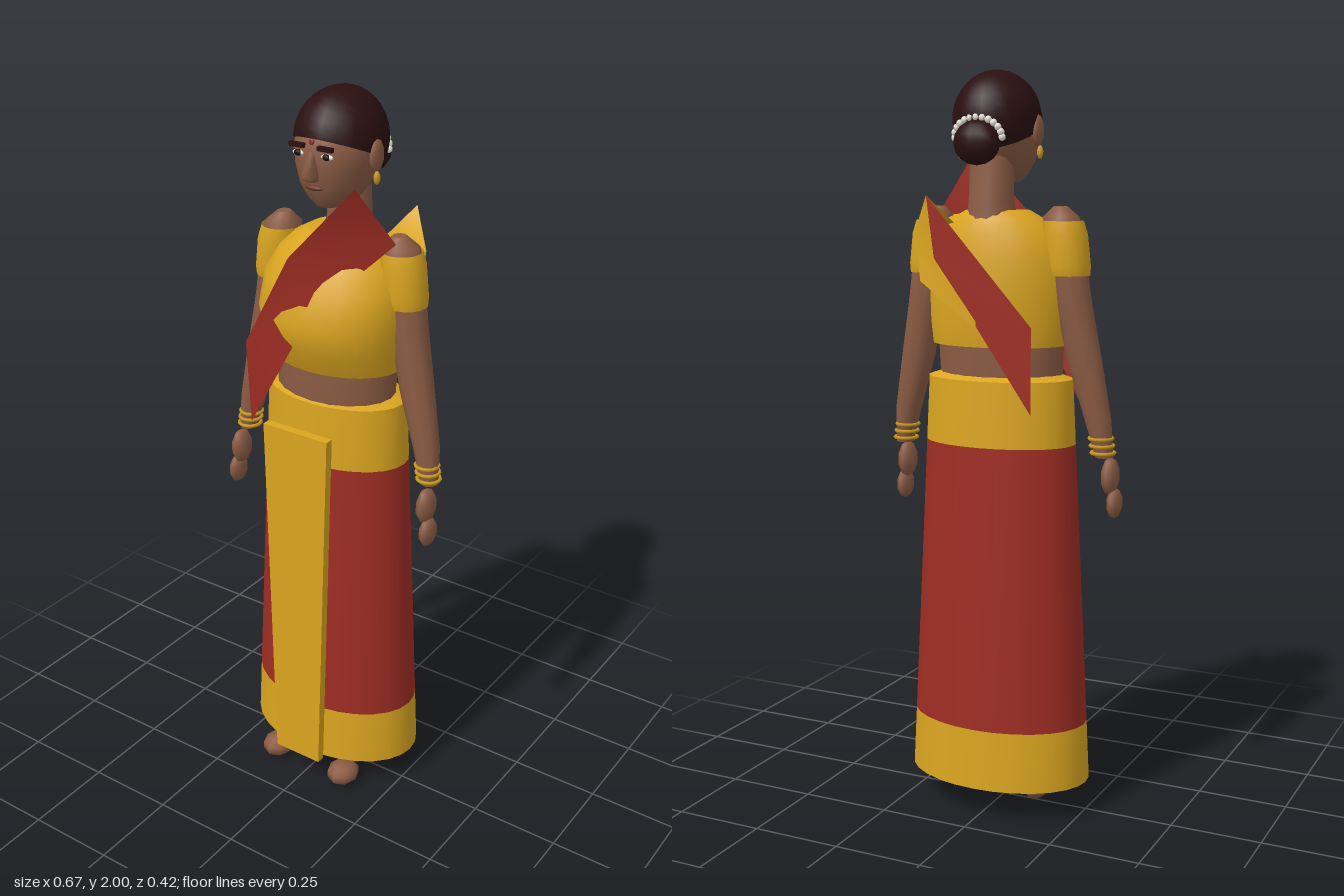
import * as THREE from 'three';

const mat = (name, color, side = THREE.FrontSide) =>
  Object.assign(new THREE.MeshStandardMaterial({ color, side }), { name });

// Surface through elliptical rings [y, halfWidth, frontZ, backZ, centreX], listed bottom to top
function loft(rings, n = 20, caps = true) {
  const pos = [], idx = [];
  const addRing = ([y, rx, f, b, cx = 0]) => {
    const start = pos.length / 3;
    for (let i = 0; i < n; i++) {
      const a = i / n * Math.PI * 2;
      pos.push(cx + Math.cos(a) * rx, y, (f + b) / 2 + Math.sin(a) * (f - b) / 2);
    }
    return start;
  };
  const starts = rings.map(addRing);
  for (let k = 0; k < rings.length - 1; k++) {
    for (let i = 0; i < n; i++) {
      const j = (i + 1) % n, p = starts[k], q = starts[k + 1];
      idx.push(p + i, q + i, p + j, p + j, q + i, q + j);
    }
  }
  if (caps) [rings[0], rings[rings.length - 1]].forEach((r, top) => {
    const s = addRing(r), c = pos.length / 3;
    pos.push(r[4] || 0, r[0], (r[2] + r[3]) / 2);
    for (let i = 0; i < n; i++) {
      const j = (i + 1) % n;
      idx.push(c, s + (top ? j : i), s + (top ? i : j));
    }
  });
  const g = new THREE.BufferGeometry();
  g.setAttribute('position', new THREE.Float32BufferAttribute(pos, 3));
  g.setIndex(idx);
  g.computeVertexNormals();
  return g;
}

// Cloth strip between two edges with the same number of points
function strip(edgeA, edgeB) {
  const g = new THREE.BufferGeometry(), n = edgeA.length, idx = [];
  g.setAttribute('position', new THREE.Float32BufferAttribute([...edgeA, ...edgeB].flat(), 3));
  for (let i = 0; i < n - 1; i++) idx.push(i, n + i, i + 1, i + 1, n + i, n + i + 1);
  g.setIndex(idx);
  g.computeVertexNormals();
  return g;
}

export function createModel() {
  const root = new THREE.Group();
  root.name = 'womanInDrapedDress';
  const skin = mat('skin', 0x8b5c44);
  const hair = mat('hair', 0x2a0f10);
  const gold = mat('goldCloth', 0xdaa520, THREE.DoubleSide);
  const red = mat('redCloth', 0x9e2d23, THREE.DoubleSide);
  const jewel = mat('goldJewellery', 0xc8961e);
  const pearl = mat('pearl', 0xeeeadf);
  const dark = mat('eyeDark', 0x160a0a);
  const lip = mat('lip', 0x6a382e);

  const add = (name, geo, material, p = [0, 0, 0], s = [1, 1, 1], parent = root) => {
    const m = new THREE.Mesh(geo, material);
    m.name = name;
    m.position.set(...p);
    m.scale.set(...s);
    parent.add(m);
    return m;
  };
  const ball = new THREE.SphereGeometry(1, 14, 10);
  const lowBall = new THREE.SphereGeometry(1, 8, 5);

  // Skirt in three bands on one straight taper
  const skirtRing = y => {
    const t = (y - 0.09) / 1.12;
    return [y, 0.26 - 0.055 * t, 0.15 - 0.042 * t, -0.2 + 0.045 * t];
  };
  const band = (name, y0, y1, m) => add(name, loft([skirtRing(y0), skirtRing(y1)], 28, false), m);
  band('skirtHem', 0.09, 0.255, gold);
  band('skirtBody', 0.255, 1.025, red);
  band('skirtWaistband', 1.025, 1.2, gold);
  add('skirtTop', loft([skirtRing(1.2), [1.212, 0.17, 0.08, -0.13]], 28, false), gold);

  // Hanging front panel, narrower at the foot
  const panel = new THREE.BoxGeometry(0.2, 1.04, 0.024);
  const pp = panel.attributes.position;
  for (let i = 0; i < pp.count; i++) {
    if (pp.getY(i) < 0) pp.setX(i, pp.getX(i) * 0.73 - 0.004);
  }
  panel.computeVertexNormals();
  add('frontPanel', panel, gold, [0.025, 0.64, 0.196]);

  // Waist, blouse and neck
  add('waist', loft([[1.1, 0.17, 0.09, -0.13], [1.2, 0.173, 0.1, -0.135], [1.32, 0.178, 0.1, -0.14]]), skin);
  add('blouse', loft([
    [1.29, 0.19, 0.11, -0.16], [1.35, 0.2, 0.14, -0.168], [1.43, 0.206, 0.166, -0.17],
    [1.52, 0.2, 0.132, -0.163], [1.58, 0.167, 0.098, -0.152], [1.62, 0.125, 0.068, -0.14],
    [1.642, 0.085, 0.045, -0.125]], 24), gold);
  add('neck', loft([[1.62, 0.068, -0.008, -0.14], [1.66, 0.06, -0.02, -0.135],
    [1.78, 0.058, -0.02, -0.125]], 14), skin);

  // Head with chin, and nose
  add('head', loft([
    [1.714, 0.04, 0.05, -0.06], [1.735, 0.066, 0.066, -0.085], [1.77, 0.088, 0.082, -0.115],
    [1.82, 0.103, 0.092, -0.145], [1.87, 0.108, 0.093, -0.155], [1.92, 0.095, 0.07, -0.145],
    [1.96, 0.06, 0.03, -0.11]], 16), skin);
  add('nose', loft([[1.79, 0.016, 0.105, 0.06], [1.805, 0.02, 0.125, 0.06], [1.865, 0.01, 0.103, 0.06]], 6), skin);
  add('mouth', ball, lip, [0, 1.772, 0.081], [0.026, 0.007, 0.008]);
  add('foreheadDot', ball, red, [0, 1.888, 0.089], [0.008, 0.008, 0.004]);

  // Hair cap tilted back, bun, and a half ring of pearls
  const hairGroup = new THREE.Group();
  hairGroup.name = 'hair';
  hairGroup.position.set(0, 1.87, -0.04);
  hairGroup.scale.set(0.115, 0.13, 0.132);
  root.add(hairGroup);
  const cap = add('hairCap', new THREE.SphereGeometry(1, 18, 10, 0, Math.PI * 2, 0, 1.78), hair,
    [0, 0, 0], [1, 1, 1], hairGroup);
  cap.rotation.x = -0.41;
  add('bun', new THREE.SphereGeometry(1, 12, 8), hair, [0, 1.812, -0.162], [0.064, 0.057, 0.046]);
  for (let i = 0; i < 13; i++) {
    const a = i / 12 * Math.PI;
    add('pearlBead', lowBall, pearl,
      [Math.cos(a) * 0.067, 1.825 + Math.sin(a) * 0.05, -0.153 - Math.sin(a) * 0.012], [0.01, 0.01, 0.01]);
  }

  const bangle = new THREE.TorusGeometry(0.031, 0.005, 6, 14).rotateX(Math.PI / 2);
  for (const s of [-1, 1]) {
    const side = s > 0 ? 'left' : 'right';

    // Face details, ears and earrings
    add(side + 'Eyebrow', new THREE.BoxGeometry(0.042, 0.011, 0.012), hair, [s * 0.042, 1.876, 0.091]);
    add(side + 'EyeWhite', ball, pearl, [s * 0.042, 1.855, 0.084], [0.018, 0.007, 0.007]);
    add(side + 'Eye', ball, dark, [s * 0.042, 1.855, 0.087], [0.011, 0.008, 0.007]);
    add(side + 'Ear', lowBall, skin, [s * 0.11, 1.845, -0.03], [0.014, 0.042, 0.028]);
    add(side + 'Earring', lowBall, jewel, [s * 0.115, 1.79, -0.025], [0.009, 0.018, 0.009]);

    // Arm with exposed shoulder, sleeve, bangles and hand
    add(side + 'Arm', loft([
      [1.0, 0.024, 0.01, -0.04, s * 0.3], [1.1, 0.037, 0.012, -0.055, s * 0.283],
      [1.25, 0.048, 0.014, -0.068, s * 0.247], [1.42, 0.05, 0.015, -0.083, s * 0.213],
      [1.58, 0.052, 0.015, -0.088, s * 0.19], [1.625, 0.049, 0.012, -0.085, s * 0.181],
      [1.652, 0.018, -0.015, -0.055, s * 0.178]], 10), skin);
    add(side + 'Sleeve', loft([
      [1.475, 0.054, 0.02, -0.09, s * 0.204], [1.5, 0.059, 0.026, -0.096, s * 0.2],
      [1.58, 0.058, 0.026, -0.096, s * 0.192], [1.615, 0.053, 0.02, -0.09, s * 0.186]], 16, false), gold);
    for (let i = 0; i < 3; i++) {
      add(side + 'Bangle', bangle, jewel, [s * (0.296 - i * 0.003), 1.012 + i * 0.019, -0.017]);
    }
    add(side + 'Palm', lowBall, skin, [s * 0.307, 0.945, 0.01], [0.024, 0.052, 0.038]);
    add(side + 'Fingers', lowBall, skin, [s * 0.318, 0.872, 0.015], [0.02, 0.042, 0.036]);

    // Leg inside the skirt and two-part foot
    add(side + 'Leg', loft([[0.13, 0.045, 0.03, -0.06, s * 0.1], [0.6, 0.07, 0.05, -0.09, s * 0.1],
      [1.1, 0.085, 0.06, -0.11, s * 0.09]], 10), skin);
    add(side + 'Heel', lowBall, skin, [s * 0.112, 0.052, 0], [0.036, 0.036, 0.085]);
    add(side + 'Toes', lowBall, skin, [s * 0.117, 0.034, 0.115], [0.046, 0.034, 0.052]);
  }

  // Sash across the chest, partly sunk into the blouse
  add('frontSash', strip(
    [[0.14, 1.8, 0.11], [-0.03, 1.605, 0.152], [-0.165, 1.35, 0.158]],
    [[0.19, 1.64, 0], [0.03, 1.465, 0.142], [-0.165, 1.115, 0.142]]), red);

  // Sash over the shoulder and down the back, with a gold border
  add('shoulderSash', strip(
    [[0.08, 1.635, -0.02], [0.08, 1.61, -0.135], [0.13, 1.68, -0.195]],
    [[0.19, 1.625, -0.02], [0.195, 1.585, -0.135], [0.13, 1.678, -0.195]]), gold);
  add('backSash', strip(
    [[0.13, 1.68, -0.195], [-0.165, 1.35, -0.19]],
    [[0.11, 1.52, -0.192], [-0.165, 1.125, -0.19]]), red);
  add('backSashBorder', strip(
    [[0.13, 1.68, -0.195], [0.11, 1.52, -0.193], [-0.01, 1.36, -0.192]],
    [[0.195, 1.585, -0.138], [0.15, 1.46, -0.193], [-0.01, 1.34, -0.192]]), gold);

  return root;
}
